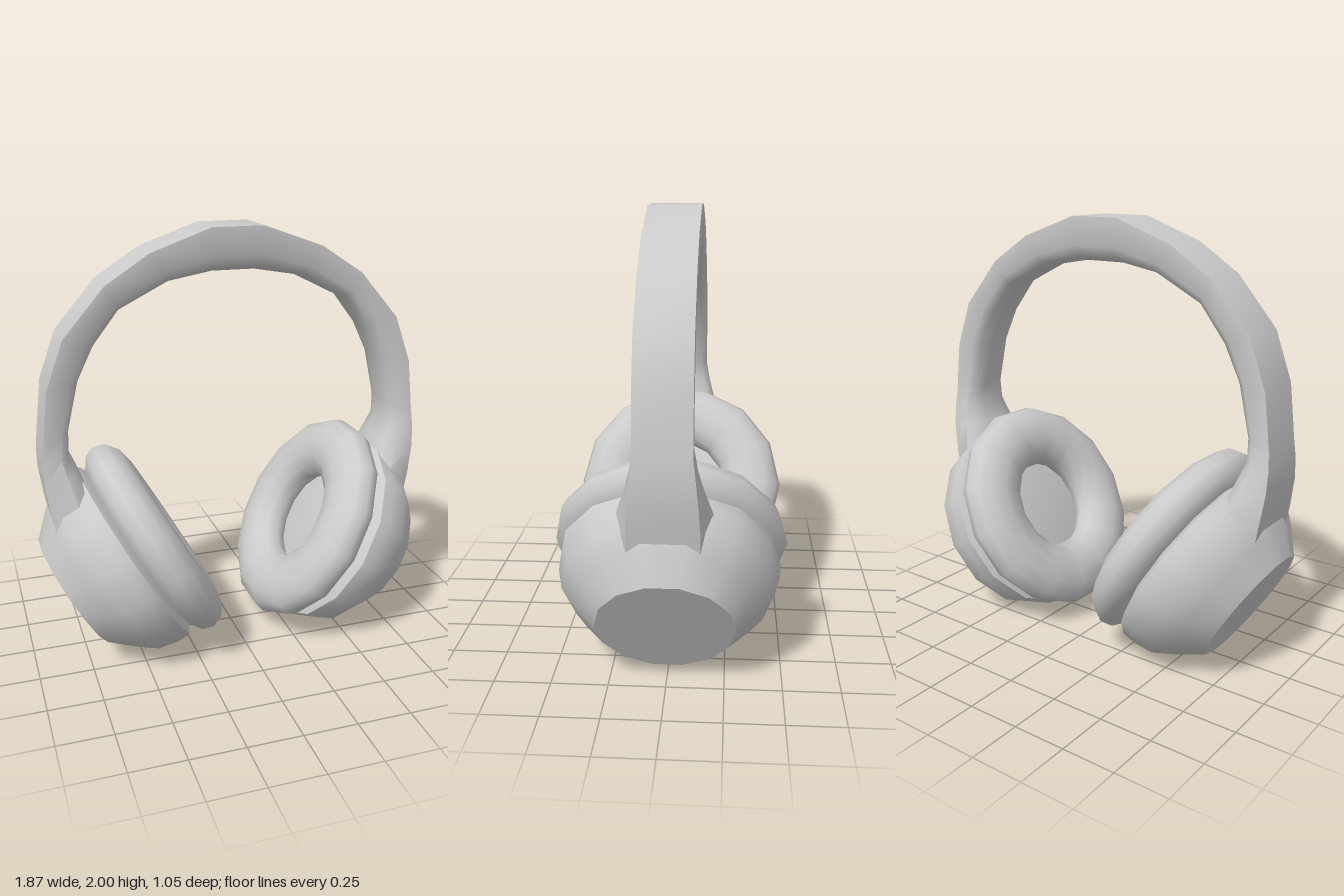
import * as THREE from 'three';
import { toCreasedNormals } from 'three/addons/utils/BufferGeometryUtils.js';

const material = new THREE.MeshStandardMaterial({ color: 0xcccccc });
const SIDES = 14;

function addMesh(parent, name, geometry, crease) {
  const mesh = new THREE.Mesh(toCreasedNormals(geometry, crease), material);
  mesh.name = name;
  parent.add(mesh);
}

// Turned part from [radius, distance along the cup axis] pairs
function turned(profile) {
  return new THREE.LatheGeometry(profile.map(([r, a]) => new THREE.Vector2(r, a)), SIDES);
}

// Ear cup: side is +1 for the model's left, -1 for its right
function createEarCup(side) {
  const cup = new THREE.Group();
  cup.name = side > 0 ? 'leftEarCup' : 'rightEarCup';
  cup.position.set(side * 0.3275, 0.567, 0);
  cup.rotation.z = -side * Math.PI * 2 / 3;

  // Hard shell with a flat outer disc; its inner end is the floor of the ear opening
  addMesh(cup, 'shell', turned([
    [0, 0.12], [0.24, 0.13], [0.44, 0.165], [0.49, 0.19], [0.487, 0.25],
    [0.462, 0.346], [0.398, 0.425], [0.3, 0.53], [0, 0.53],
  ]), 0.7);

  // Padded ring
  const ring = [];
  for (let i = 0; i <= 12; i++) {
    const t = (i / 12) * Math.PI * 2;
    ring.push([0.372 + 0.153 * Math.cos(t), 0.072 + 0.108 * Math.sin(t)]);
  }
  addMesh(cup, 'cushion', turned(ring), 1.2);
  return cup;
}

// Headband: cross-sections swept from one cup over the top to the other
function createHeadband() {
  // outer x, outer y, inner x, inner y, outer half width, inner half width
  const half = [
    [0.86, 0.62, 0.65, 0.72, 0.15, 0.28],
    [0.885, 0.76, 0.71, 0.85, 0.15, 0.22],
    [0.905, 0.9, 0.745, 0.94, 0.14, 0.17],
    [0.907, 1.0, 0.78, 1.02, 0.13, 0.14],
    [0.9, 1.08, 0.775, 1.12, 0.12, 0.12],
    [0.87, 1.33, 0.72, 1.35, 0.12, 0.12],
    [0.79, 1.55, 0.645, 1.5, 0.12, 0.12],
    [0.6, 1.77, 0.53, 1.65, 0.12, 0.12],
    [0.4, 1.9, 0.3, 1.765, 0.12, 0.12],
    [0.12, 2.0, 0.1, 1.8, 0.12, 0.12],
  ];
  const mirrored = half.map(([ox, oy, ix, iy, wo, wi]) => [-ox, oy, -ix, iy, wo, wi]).reverse();
  const stations = [...half, ...mirrored];

  // Flat outside, rounded inside: [depth from outer to inner, share of half width]
  const front = [[0, 1], [0.65, 1], [0.9, 0.75], [1, 0.3]];
  const section = [...front, ...front.map(([t, w]) => [t, -w]).reverse()];
  const n = section.length;

  const positions = [];
  for (const [ox, oy, ix, iy, wo, wi] of stations) {
    for (const [t, w] of section) {
      positions.push(ox + (ix - ox) * t, oy + (iy - oy) * t, w * (wo + (wi - wo) * t));
    }
  }
  const index = [];
  for (let s = 0; s < stations.length - 1; s++) {
    for (let i = 0; i < n; i++) {
      const a = s * n + i;
      const b = s * n + (i + 1) % n;
      index.push(a, a + n, b, b, a + n, b + n);
    }
  }
  const geometry = new THREE.BufferGeometry();
  geometry.setAttribute('position', new THREE.Float32BufferAttribute(positions, 3));
  geometry.setIndex(index);
  return geometry;
}

export function createModel() {
  const model = new THREE.Group();
  model.name = 'headphones';
  addMesh(model, 'headband', createHeadband(), 0.9);
  for (const side of [1, -1]) model.add(createEarCup(side));
  return model;
}
